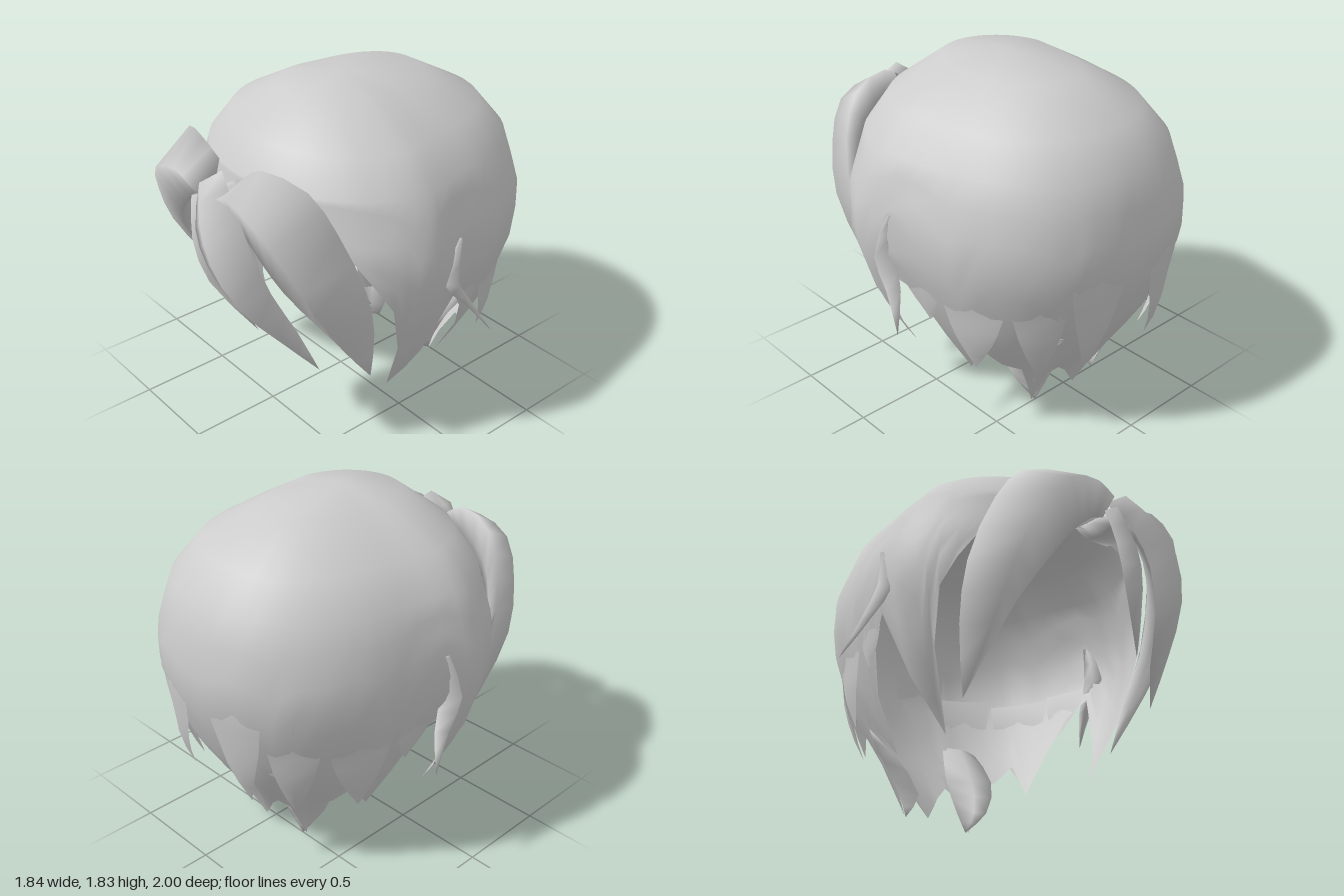
import * as THREE from 'three';
import { mergeVertices } from 'three/addons/utils/BufferGeometryUtils.js';

const hairGrey = new THREE.MeshStandardMaterial({ color: 0xcccccc, side: THREE.DoubleSide });
hairGrey.name = 'hairGrey';

const V = (p) => new THREE.Vector3(...p);

// piecewise linear lookup in a table of [key, value]
function lookup(table, x) {
  for (let i = 1; i < table.length; i++) {
    const [x0, y0] = table[i - 1], [x1, y1] = table[i];
    if (x <= x1) return y0 + (y1 - y0) * Math.max(0, (x - x0) / (x1 - x0));
  }
  return table[table.length - 1][1];
}

// skin over rows of points; closed joins the last column to the first
function skin(name, rows, closed) {
  const n = rows[0].length, index = [];
  for (let i = 0; i < rows.length - 1; i++) {
    for (let j = 0; j < (closed ? n : n - 1); j++) {
      const k = (j + 1) % n;
      const a = i * n + j, b = a + n, c = i * n + k, d = c + n;
      index.push(a, b, c, c, b, d);
    }
  }
  let geo = new THREE.BufferGeometry();
  geo.setAttribute('position', new THREE.Float32BufferAttribute(rows.flat().flatMap((p) => [p.x, p.y, p.z]), 3));
  geo.setIndex(index);
  geo = mergeVertices(geo, 1e-4);
  geo.computeVertexNormals();
  const mesh = new THREE.Mesh(geo, hairGrey);
  mesh.name = name;
  return mesh;
}

// head shape: width and depth factors by height
const BELOW = [[0, 0.55], [0.2, 0.62], [0.4, 0.76], [0.6, 0.88], [0.95, 1]];
const WIDTH = [...BELOW, [1.18, 0.99], [1.45, 0.87], [1.62, 0.7], [1.78, 0.35], [1.83, 0]];
const DEPTH = [...BELOW, [1.18, 1], [1.45, 0.92], [1.62, 0.78], [1.78, 0.48], [1.83, 0]];

// point on the head; the back is longer, narrower and squarer than the front
function onHead(deg, y, scale = 1) {
  const a = THREE.MathUtils.degToRad(deg), c = Math.cos(a), s = Math.sin(a);
  const power = c > 0 ? 1 : 0.87;
  const half = lookup([[82, 0.865], [100, 0.805]], Math.abs(deg));
  return new THREE.Vector3(
    half * scale * lookup(WIDTH, y) * Math.sign(s) * Math.abs(s) ** power, y,
    (c > 0 ? 0.71 : 1) * scale * lookup(DEPTH, y) * Math.sign(c) * Math.abs(c) ** power);
}

// lower edge of the cap: angle from the front, height
const RIM = [[0, 1.33], [25, 1.3], [47, 1.2], [57, 1.02], [64, 0.88], [69, 0.6], [74, 0.22],
  [86, 0.5], [93, 0.84], [99, 0.74], [106, 0.5], [113, 0.23], [122, 0.45], [131, 0.34],
  [141, 0.3], [151, 0], [157, 0.22], [162, 0.28], [170, 0.2], [180, 0.05]];

function cap() {
  const half = [];
  RIM.forEach(([a], i) => {
    half.push(a);
    if (i === RIM.length - 1) return;
    const step = RIM[i + 1][0] - a, n = Math.ceil(step / 8);
    for (let s = 1; s < n; s++) half.push(a + (step * s) / n);
  });
  const angles = [...half.slice(1, -1).reverse().map((a) => -a), ...half];
  const rows = [1.83, 1.78, 1.62].map((y) => angles.map((a) => onHead(a, y)));
  for (let i = 0; i <= 8; i++) {
    rows.push(angles.map((a) => onHead(a, THREE.MathUtils.lerp(1.45, lookup(RIM, Math.abs(a)), i / 8))));
  }
  return skin('hairCap', rows, true);
}

// pointed lock growing out of the cap between two angles, down to a tip pushed out by lift
function lock(name, side, a0, a1, top, tipA, tipY, lift) {
  const rows = [];
  for (let i = 0; i <= 6; i++) {
    const t = i / 6, w = 1 - t * t, y = THREE.MathUtils.lerp(top, tipY, t);
    const row = [a0, (a0 + a1) / 2, a1].map((a, j) => {
      const bulge = j === 1 ? 0.12 * t * t * (1 - t) : 0;
      return onHead(side * (tipA + (a - tipA) * w), y, 0.985 + (lift + 0.015) * t * t + bulge);
    });
    rows.push(side > 0 ? row : row.reverse());
  }
  return skin(name, rows, false);
}

// full strand from rows of [inner edge, crest, outer edge], smoothed lengthwise
function strand(name, rows, thick = 0.03, side = 1) {
  const flip = new THREE.Vector3(side, 1, 1);
  const rings = rows.map((r) => {
    const [a, b, c] = r.map((p) => V(p).multiply(flip));
    const under = a.clone().add(c).multiplyScalar(0.5);
    if (a.distanceTo(c) > 0.01) under.z -= thick;
    return side > 0 ? [a, b, c, under] : [c, b, a, under];
  });
  const n = (rows.length - 1) * 2;
  const rails = [0, 1, 2, 3].map((j) => new THREE.CatmullRomCurve3(rings.map((r) => r[j])));
  const out = [];
  for (let i = 0; i <= n; i++) out.push(rails.map((c) => c.getPoint(i / n)));
  // close the root
  const mid = out[0].reduce((s, p) => s.add(p), new THREE.Vector3()).multiplyScalar(0.25);
  out.unshift(out[0].map(() => mid.clone()));
  return skin(name, out, true);
}

const same = (p) => [p, p, p];

const SIDE_BANG = [
  [[0.1, 1.34, 0.8], [0.1, 1.43, 0.88], [0.12, 1.5, 0.68]],
  [[0.2, 1.29, 0.8], [0.22, 1.47, 0.88], [0.24, 1.575, 0.69]],
  [[0.34, 1.15, 0.78], [0.42, 1.4, 0.87], [0.49, 1.53, 0.61]],
  [[0.43, 1.0, 0.72], [0.55, 1.2, 0.79], [0.62, 1.34, 0.54]],
  [[0.51, 0.8, 0.59], [0.62, 0.95, 0.68], [0.69, 1.0, 0.42]],
  [[0.54, 0.58, 0.43], [0.6, 0.66, 0.5], [0.65, 0.7, 0.33]],
  same([0.56, 0.36, 0.27]),
];

const CENTRE_BANG = [
  [[-0.1, 1.42, 0.82], [0.0, 1.48, 0.88], [0.08, 1.55, 0.8]],
  [[0.0, 1.24, 0.92], [0.12, 1.34, 0.97], [0.22, 1.44, 0.84]],
  [[0.1, 1.08, 0.93], [0.24, 1.18, 1.0], [0.36, 1.28, 0.86]],
  [[0.22, 0.88, 0.86], [0.35, 0.97, 0.94], [0.46, 1.06, 0.82]],
  [[0.37, 0.68, 0.7], [0.45, 0.74, 0.76], [0.51, 0.82, 0.71]],
  same([0.52, 0.53, 0.58]),
];

const SMALL_BANG = [
  [[-0.12, 1.36, 0.83], [-0.08, 1.38, 0.88], [-0.03, 1.38, 0.83]],
  [[-0.1, 1.15, 0.88], [-0.02, 1.18, 0.93], [0.07, 1.21, 0.88]],
  [[-0.02, 0.94, 0.86], [0.06, 0.96, 0.9], [0.14, 1.0, 0.85]],
  same([0.22, 0.68, 0.73]),
];

// short tuft tying the fringe to the hairline
const FRINGE_ROOT = [
  [[-0.13, 1.33, 0.64], [0, 1.43, 0.64], [0.13, 1.33, 0.64]],
  [[-0.12, 1.32, 0.75], [0, 1.42, 0.76], [0.12, 1.32, 0.75]],
  same([0, 1.38, 0.86]),
];

// curled lock at the nape, rooted in the cap
const NAPE_LOCK = [
  [[0.32, 0.6, -0.81], [0.4, 0.6, -0.78], [0.47, 0.58, -0.71]],
  [[0.2, 0.32, -0.64], [0.32, 0.32, -0.6], [0.38, 0.32, -0.46]],
  [[0.2, 0.12, -0.55], [0.25, 0.11, -0.52], [0.25, 0.09, -0.37]],
  same([0.22, 0, -0.5]),
];

// flick standing out over the ear
const EAR_FLICK = [
  [[0.82, 1.18, -0.06], [0.83, 1.18, -0.075], [0.8, 1.18, -0.09]],
  [[0.82, 0.96, 0.03], [0.88, 0.95, -0.02], [0.79, 0.96, -0.08]],
  [[0.85, 0.8, -0.1], [0.89, 0.8, -0.12], [0.83, 0.79, -0.16]],
  same([0.92, 0.61, -0.24]),
];

export function createModel() {
  const hair = new THREE.Group();
  hair.name = 'hair';
  hair.add(cap(), strand('centreBang', CENTRE_BANG), strand('smallBang', SMALL_BANG),
    strand('fringeRoot', FRINGE_ROOT));
  for (const s of [1, -1]) {
    const side = s > 0 ? 'left' : 'right';
    hair.add(
      strand(side + 'Bang', SIDE_BANG, 0.03, s),
      strand(side + 'NapeLock', NAPE_LOCK, -0.02, s),
      strand(side + 'EarFlick', EAR_FLICK, 0, s),
      lock(side + 'EarLock', s, 94, 108, 0.92, 103, 0.62, 0.03),
      lock(side + 'SideLock', s, 108, 132, 0.9, 120, 0.39, 0.14),
      lock(side + 'RearLock', s, 133, 155, 0.95, 147, 0.32, 0.13),
      lock(side + 'BackLock', s, 154, 176, 1.12, 164, 0.41, 0.15),
    );
  }
  return hair;
}
